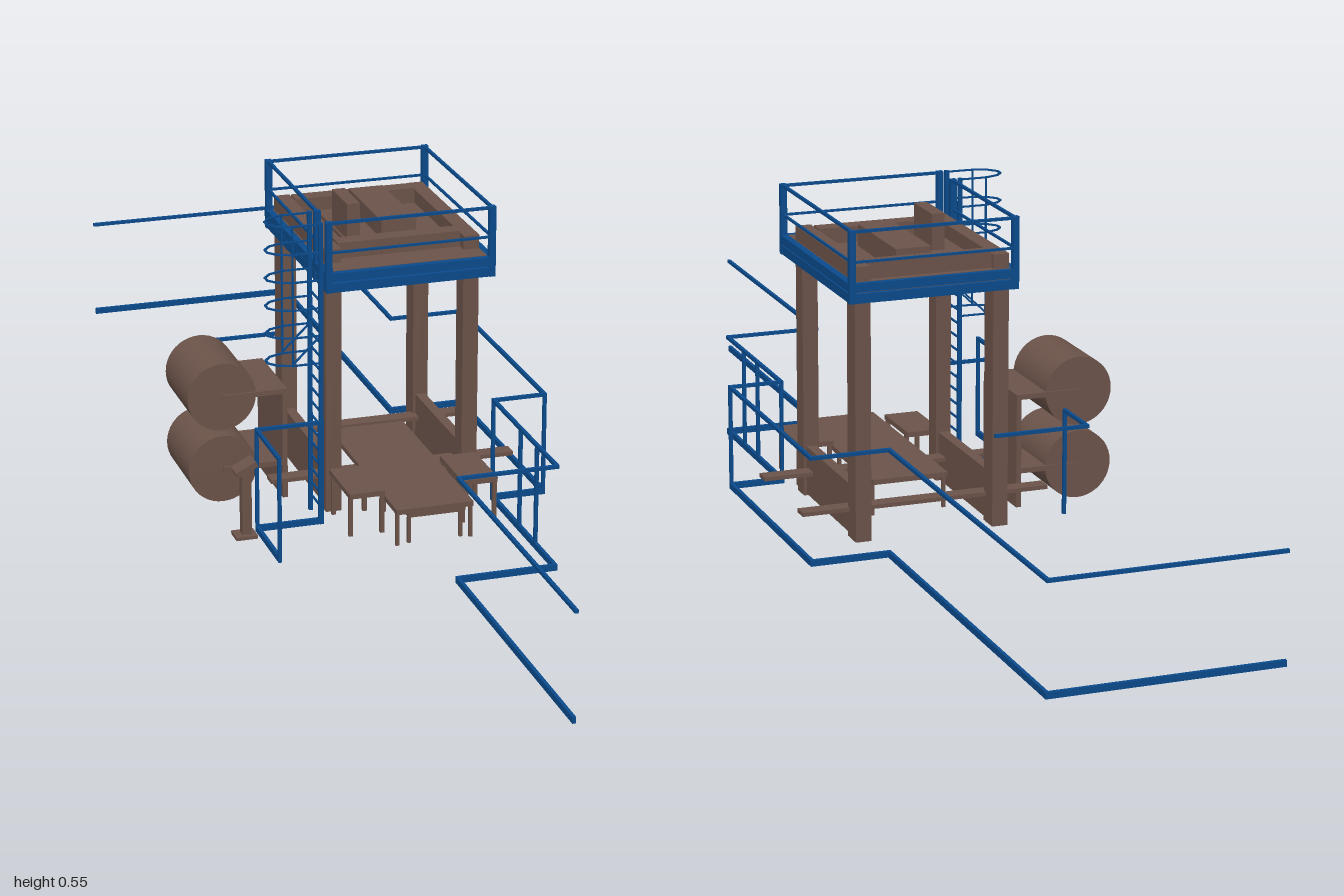
import * as THREE from 'three';

const blue = new THREE.MeshStandardMaterial({ color: 0x0a4a8c });
const brown = new THREE.MeshStandardMaterial({ color: 0x6b5349 });

export function createModel() {
  const root = new THREE.Group();
  const group = (name) => {
    const g = new THREE.Group();
    g.name = name;
    root.add(g);
    return g;
  };
  // Box given by its limits on each axis
  const box = (parent, name, mat, x0, x1, y0, y1, z0, z1) => {
    const m = new THREE.Mesh(new THREE.BoxGeometry(x1 - x0, y1 - y0, z1 - z0), mat);
    m.position.set((x0 + x1) / 2, (y0 + y1) / 2, (z0 + z1) / 2);
    m.name = name;
    parent.add(m);
    return m;
  };
  // Square bar between two points
  const bar = (parent, name, a, b, w = 0.006, h = w) => {
    const p = new THREE.Vector3(...a), q = new THREE.Vector3(...b);
    const m = new THREE.Mesh(new THREE.BoxGeometry(w, h, p.distanceTo(q) + w * 0.9), blue);
    m.position.copy(p).add(q).multiplyScalar(0.5);
    m.lookAt(q);
    m.name = name;
    parent.add(m);
  };
  // Rail along a plan path of [x, z] points
  const rail = (parent, name, path, y, w, h) => {
    for (let i = 1; i < path.length; i++) {
      const [a, b] = [path[i - 1], path[i]];
      bar(parent, name, [a[0], y, a[1]], [b[0], y, b[1]], w, h);
    }
  };
  const post = (parent, x, z, y0, y1, w = 0.006) =>
    box(parent, 'post', blue, x - w / 2, x + w / 2, y0, y1, z - w / 2, z + w / 2);

  // Long perimeter fence
  const fence = group('perimeterFence');
  const path = [[-0.227, -0.997], [0.165, -0.997], [0.165, -0.305], [0.301, -0.305], [0.301, 0.14],
    [0.207, 0.14], [0.207, 0.455], [0.035, 0.455], [0.035, 0.997]];
  rail(fence, 'topRail', path, 0.189, 0.006);
  rail(fence, 'bottomRail', path, 0.008, 0.006, 0.011);
  for (const [x, z] of [[0.301, 0.14], [0.207, 0.14], [0.207, 0.278], [0.207, 0.358]])
    post(fence, x, z, 0.003, 0.192);

  // Short fences beside the ladder and behind the tanks
  const side = group('sideFence');
  const sidePath = [[-0.222, 0.287], [-0.222, 0.15], [-0.11, 0.15]];
  rail(side, 'topRail', sidePath, 0.189, 0.006);
  rail(side, 'bottomRail', sidePath, 0.008, 0.006, 0.011);
  sidePath.forEach(([x, z]) => post(side, x, z, 0.003, 0.192));
  const rear = group('rearFence');
  rail(rear, 'topRail', [[-0.195, -0.195], [-0.195, -0.293], [-0.03, -0.293]], 0.189, 0.006);
  post(rear, -0.195, -0.195, 0.003, 0.192);

  // Four columns with base plates between each pair
  const frame = group('pressFrame');
  for (const [x0, x1] of [[-0.084, -0.056], [0.163, 0.191]]) {
    box(frame, 'frontColumn', brown, x0, x1, 0, 0.48, 0.065, 0.1);
    box(frame, 'backColumn', brown, x0, x1, 0, 0.48, -0.21, -0.17);
    box(frame, 'basePlate', brown, x0 + 0.005, x1 - 0.005, 0.003, 0.09, -0.17, 0.065);
  }
  for (const z of [-0.166, 0.043])
    box(frame, 'crossBar', brown, -0.17, 0.275, 0.046, 0.053, z - 0.014, z + 0.014);

  // Machinery head on the platform
  const head = group('head');
  box(head, 'deck', brown, -0.086, 0.192, 0.424, 0.455, -0.213, 0.138);
  for (const x of [-0.084, 0.164])
    box(head, 'sideBeam', brown, x, x + 0.027, 0.455, 0.48, -0.21, 0.1);
  for (const z of [-0.2, 0.05])
    box(head, 'crossBeam', brown, -0.056, 0.164, 0.455, 0.483, z, z + 0.03);
  box(head, 'machineBase', brown, -0.02, 0.042, 0.455, 0.462, -0.16, 0.02);
  box(head, 'longCabinet', brown, 0.041, 0.104, 0.455, 0.494, -0.17, 0.02);
  box(head, 'tallCabinet', brown, -0.017, 0.006, 0.462, 0.526, -0.08, 0.008);

  // Platform edging and guard rail, with a gap at the ladder
  const platform = group('platform');
  const [px0, px1, pz0, pz1] = [-0.092, 0.198, -0.217, 0.145];
  const edge = [[px0, pz0], [px1, pz0], [px1, pz1], [px0, pz1], [px0, pz0]];
  rail(platform, 'lowerEdge', edge, 0.428, 0.008, 0.016);
  rail(platform, 'upperEdge', edge, 0.447, 0.012, 0.015);
  const guard = [[px0, 0.078], [px0, pz0], [px1, pz0], [px1, pz1], [px0, pz1]];
  rail(platform, 'topRail', guard, 0.542, 0.005);
  rail(platform, 'midRail', guard, 0.49, 0.004);
  guard.forEach(([x, z]) => post(platform, x, z, 0.42, 0.545, 0.011));

  // Caged ladder
  const ladder = group('ladder');
  const [lx, lz0, lz1] = [-0.106, 0.08, 0.145];
  for (const z of [lz0, lz1]) {
    post(ladder, lx, z, 0, 0.545, 0.007);
    bar(ladder, 'cageBar', [-0.155, 0.296, z], [-0.155, 0.543, z], 0.003);
    bar(ladder, 'cageBrace', [-0.155, 0.298, z], [lx, 0.345, z], 0.003);
  }
  for (let y = 0.03; y < 0.43; y += 0.025)
    bar(ladder, 'rung', [lx, y, lz0], [lx, y, lz1], 0.003);
  const hoop = [[lx, lz0], [-0.155, lz0], [-0.18, 0.09], [-0.192, 0.105], [-0.192, 0.12],
    [-0.18, 0.135], [-0.155, lz1], [lx, lz1]];
  for (let i = 0; i < 6; i++) rail(ladder, 'cageHoop', hoop, 0.295 + i * 0.0495, 0.003);

  // Two stacked tanks on a bracket
  const tanks = group('tanks');
  for (const y of [0.069, 0.202]) {
    const t = new THREE.Mesh(new THREE.CylinderGeometry(0.061, 0.061, 0.15, 40), brown);
    t.rotation.x = Math.PI / 2;
    t.position.set(-0.246, y, -0.057);
    t.name = 'tank';
    tanks.add(t);
  }
  box(tanks, 'bracketPanel', brown, -0.139, -0.13, 0.003, 0.206, -0.135, 0.022);
  for (const y of [0.197, 0.064])
    box(tanks, 'bracketShelf', brown, -0.245, -0.13, y, y + 0.009, -0.135, 0.022);

  // Feed tables: two side tables and a longer middle one
  const tables = group('feedTables');
  const table = (name, x0, x1, top, z0, z1, leg) => {
    box(tables, name, brown, x0, x1, top - 0.009, top, z0, z1);
    for (const x of [x0, x1 - leg])
      for (const z of [z0 + 0.01, z1 - leg - 0.004])
        box(tables, 'tableLeg', brown, x, x + leg, 0.003, top - 0.005, z, z + leg);
  };
  table('leftTable', 0.122, 0.186, 0.082, 0.105, 0.225, 0.007);
  table('rightTable', -0.08, -0.017, 0.082, 0.105, 0.225, 0.007);
  table('middleTable', -0.016, 0.121, 0.07, -0.1, 0.286, 0.006);
  table('innerTable', 0.007, 0.105, 0.06, 0.12, 0.28, 0.006);

  // Control stand with a tilted panel
  const stand = group('controlStand');
  box(stand, 'standBase', brown, -0.268, -0.23, 0.003, 0.009, 0.148, 0.182);
  box(stand, 'standPost', brown, -0.255, -0.238, 0.005, 0.13, 0.157, 0.173);
  box(stand, 'standPanel', brown, -0.268, -0.228, 0.126, 0.136, 0.148, 0.182).rotation.z = 0.45;

  return root;
}
